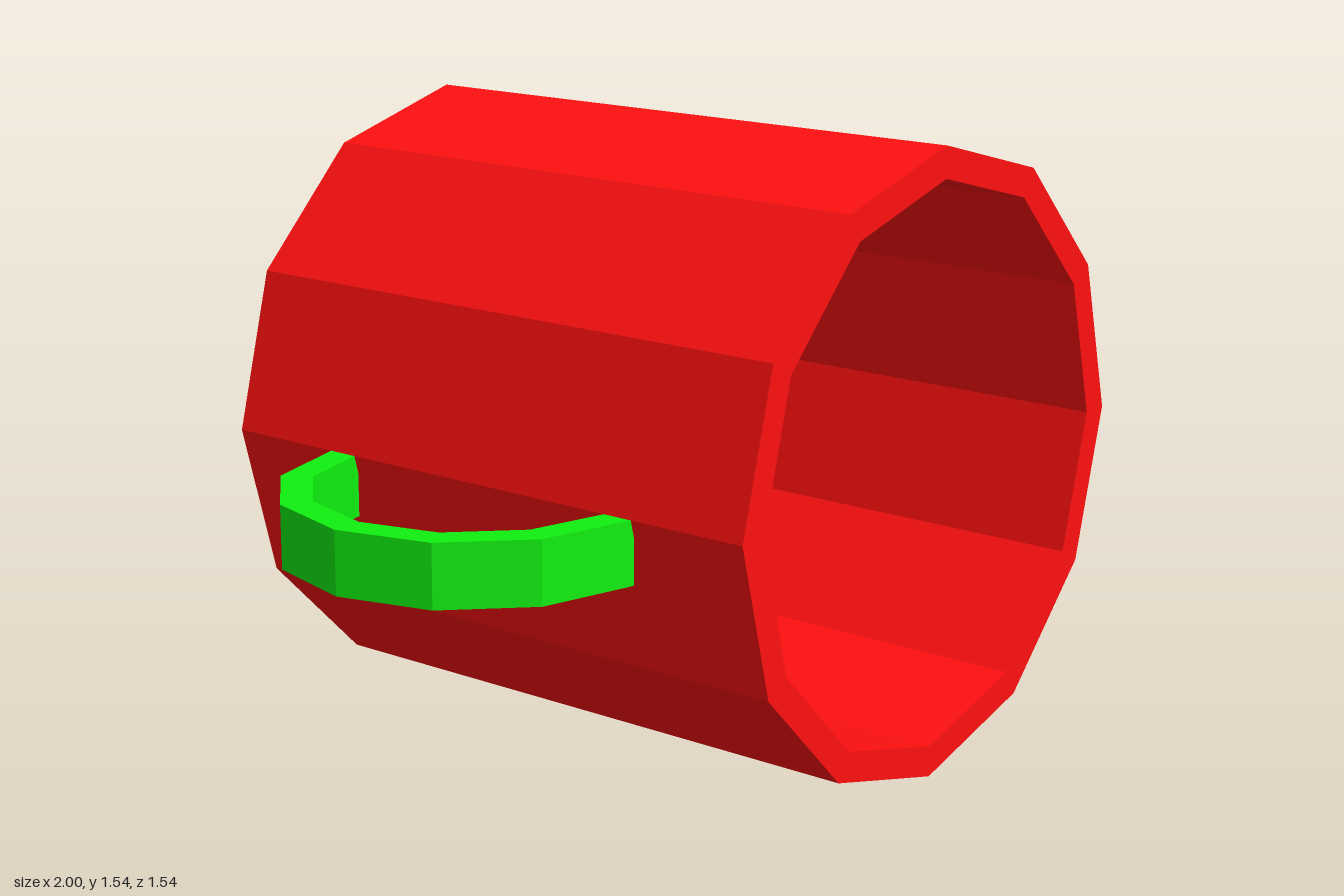
import * as THREE from 'three';

const R = 0.769;            // cup radius and half length
const WALL = 0.077;         // wall thickness
const CX = 0.231;           // cup axis position in x
const SIDES = 12;

// Hollow twelve-sided cup lying on its side, mouth towards +z
function makeCup() {
  const r = R - WALL;
  const profile = [[0, -R], [R, -R], [R, R], [r, R], [r, -R + WALL], [0, -R + WALL]]
    .map(([x, y]) => new THREE.Vector2(x, y));
  const geometry = new THREE.LatheGeometry(profile, SIDES);
  geometry.rotateX(Math.PI / 2);
  const cup = new THREE.Mesh(geometry, new THREE.MeshStandardMaterial({ color: 0xff1010, flatShading: true }));
  cup.name = 'cup';
  cup.position.set(CX, R, 0);
  return cup;
}

// Faceted half-ring handle, its ends just inside the wall
function makeHandle() {
  const outer = 0.6 * R, inner = 0.5 * R, height = 0.2 * R, tuck = 0.012;
  const arc = (radius) => {
    const points = [new THREE.Vector2(tuck, radius)];
    for (let i = 0; i <= SIDES / 2; i++) {
      const a = Math.PI / 2 + (i * 2 * Math.PI) / SIDES;
      points.push(new THREE.Vector2(radius * Math.cos(a), radius * Math.sin(a)));
    }
    points.push(new THREE.Vector2(tuck, -radius));
    return points;
  };
  const shape = new THREE.Shape([...arc(outer), ...arc(inner).reverse()]);
  const geometry = new THREE.ExtrudeGeometry(shape, { depth: height, bevelEnabled: false });
  geometry.rotateX(-Math.PI / 2);
  const handle = new THREE.Mesh(geometry, new THREE.MeshStandardMaterial({ color: 0x10f010, flatShading: true }));
  handle.name = 'handle';
  handle.position.set(CX - R, R - height, 0);
  return handle;
}

export function createModel() {
  const group = new THREE.Group();
  group.name = 'mug';
  group.add(makeCup(), makeHandle());
  return group;
}
